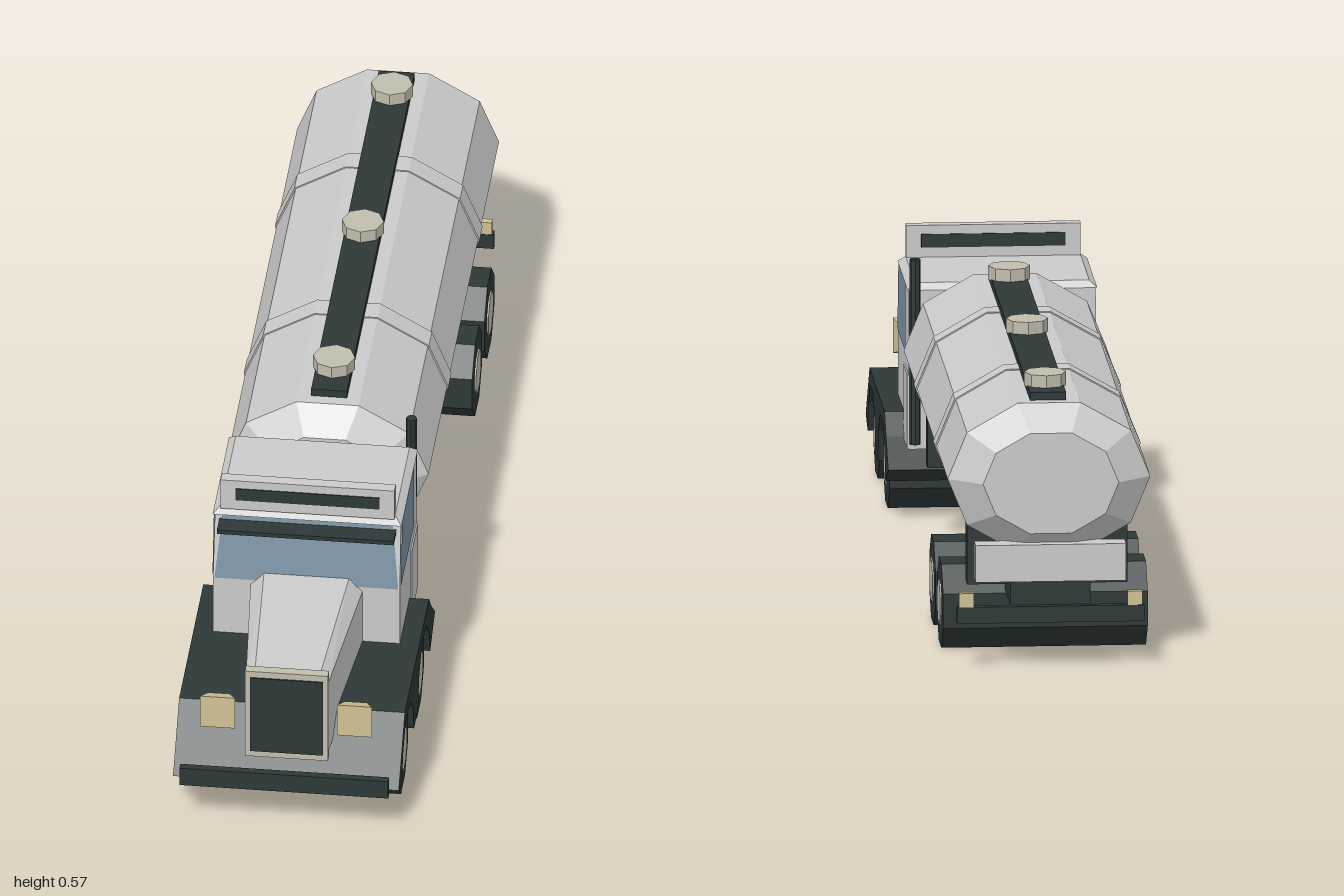
import * as THREE from 'three';
import { ConvexGeometry } from 'three/addons/geometries/ConvexGeometry.js';

const mat = (name, color) => {
  const m = new THREE.MeshStandardMaterial({ color, flatShading: true });
  m.name = name;
  return m;
};

export function createModel() {
  const body = mat('light grey body', 0xcbcbcb);
  const dark = mat('dark trim', 0x2c3837);
  const glass = mat('window glass', 0x7d93a4);
  const lamp = mat('lamp', 0xcfc294);
  const metal = mat('warm metal', 0xc2beae);
  glass.side = THREE.DoubleSide;

  const truck = new THREE.Group();
  truck.name = 'tankerTruck';
  const add = (name, geo, material, x = 0, y = 0, z = 0) => {
    const m = new THREE.Mesh(geo, material);
    m.name = name;
    m.position.set(x, y, z);
    truck.add(m);
    return m;
  };
  // box given by its ranges
  const box = (name, material, x0, x1, y0, y1, z0, z1) =>
    add(name, new THREE.BoxGeometry(x1 - x0, y1 - y0, z1 - z0), material,
      (x0 + x1) / 2, (y0 + y1) / 2, (z0 + z1) / 2);
  // convex solid from [halfWidth, y, z] points mirrored across x
  const hull = (name, material, pts) => add(name, new ConvexGeometry(
    pts.flatMap(([x, y, z]) => [new THREE.Vector3(x, y, z), new THREE.Vector3(-x, y, z)])), material);
  // flat four-cornered pane
  const pane = (name, c) => {
    const g = new THREE.BufferGeometry();
    g.setAttribute('position', new THREE.Float32BufferAttribute(
      [c[0], c[1], c[2], c[0], c[2], c[3]].flat(), 3));
    g.computeVertexNormals();
    add(name, g, glass);
  };
  // ten-sided oval lathe along z, profile in [scale, z]
  const oval = (name, profile) => {
    const g = new THREE.LatheGeometry(
      profile.map(([r, z]) => new THREE.Vector2(r, z)), 10, Math.PI / 2);
    g.rotateX(Math.PI / 2);
    g.scale(0.202, 0.16, 1);
    add(name, g, body, 0, 0.375, 0);
  };

  // tank with tapered ends and two bands
  oval('tank', [[0, -1], [0.67, -1], [1, -0.945], [1, 0.255], [0.67, 0.306], [0, 0.306]]);
  for (const z of [-0.085, -0.615])
    oval('tankBand', [[0.98, z - 0.025], [1.015, z - 0.025], [1.015, z + 0.025], [0.98, z + 0.025]]);

  // walkway and hatches
  box('walkway', dark, -0.036, 0.036, 0.52, 0.543, -0.92, 0.23);
  for (const z of [0.145, -0.345, -0.84])
    add('hatch', new THREE.CylinderGeometry(0.042, 0.042, 0.028, 8), metal, 0, 0.554, z);

  // chassis, saddles and rear end
  box('chassis', dark, -0.08, 0.08, 0.125, 0.175, -0.985, 0.9);
  for (const z of [0.2, -0.88])
    box('tankSaddle', dark, -0.16, 0.16, 0.15, 0.285, z - 0.02, z + 0.02);
  box('rearCabinet', body, -0.15, 0.15, 0.175, 0.25, -0.998, -0.955);
  box('rearBumper', dark, -0.187, 0.187, 0.092, 0.125, -1, -0.984);
  for (const s of [-1, 1])
    add('tailLamp', new THREE.BoxGeometry(0.03, 0.03, 0.014), lamp, s * 0.168, 0.138, -0.992);

  // wheels as full-width octagonal rollers with hubs
  const wheel = (z, half) => {
    const roller = (r, w) =>
      new THREE.CylinderGeometry(r, r, w, 8, 1, false, Math.PI / 8).rotateZ(Math.PI / 2);
    add('wheelPair', roller(0.092, half * 2), dark, 0, 0.085, z);
    add('wheelHubs', roller(0.046, half * 2 + 0.006), metal, 0, 0.085, z);
  };
  wheel(0.807, 0.216);
  wheel(0.535, 0.216);
  wheel(-0.556, 0.204);
  wheel(-0.765, 0.204);

  // front fender arching over both axles, outline in [z, y]
  const outline = [[0.965, 0.09], [0.885, 0.18], [0.86, 0.207], [0.45, 0.207], [0.41, 0.165],
    [0.348, 0.11], [0.43, 0.07], [0.45, 0.13], [0.495, 0.175], [0.575, 0.175], [0.62, 0.13],
    [0.635, 0.067], [0.705, 0.067], [0.722, 0.13], [0.768, 0.175], [0.847, 0.175],
    [0.89, 0.13], [0.91, 0.068]];
  const shape = new THREE.Shape(outline.map(([z, y]) => new THREE.Vector2(-z, y)));
  const fender = new THREE.ExtrudeGeometry(shape, { depth: 0.452, bevelEnabled: false });
  fender.rotateY(Math.PI / 2);
  add('frontFender', fender, dark, -0.226, 0, 0);
  box('frontBumper', dark, -0.209, 0.209, 0.093, 0.133, 0.984, 1);

  // cab
  box('cabLower', body, -0.187, 0.187, 0.157, 0.337, 0.325, 0.615);
  hull('cabUpper', body, [[0.187, 0.335, 0.325], [0.187, 0.335, 0.615],
    [0.186, 0.48, 0.328], [0.186, 0.48, 0.588]]);
  hull('roof', body, [[0.189, 0.48, 0.327], [0.189, 0.48, 0.605],
    [0.174, 0.493, 0.34], [0.174, 0.493, 0.585]]);
  for (const s of [-1, 1])
    add('doorPanel', new THREE.BoxGeometry(0.008, 0.15, 0.105), body, s * 0.186, 0.233, 0.38);

  // windows
  pane('windshield', [[-0.184, 0.337, 0.617], [0.184, 0.337, 0.617],
    [0.17, 0.479, 0.591], [-0.17, 0.479, 0.591]]);
  for (const s of [-1, 1]) {
    const c = [[s * 0.1885, 0.34, 0.612], [s * 0.1885, 0.34, 0.388],
      [s * 0.1885, 0.479, 0.388], [s * 0.1885, 0.479, 0.587]];
    pane('sideWindow', s > 0 ? c : c.reverse());
  }

  // roof board, visor and exhaust
  box('roofBoard', body, -0.174, 0.174, 0.49, 0.558, 0.573, 0.597);
  box('roofBoardStrip', dark, -0.144, 0.144, 0.513, 0.54, 0.571, 0.599);
  box('visor', dark, -0.177, 0.177, 0.454, 0.463, 0.59, 0.635);
  add('exhaustStack', new THREE.CylinderGeometry(0.011, 0.011, 0.377, 8), dark, 0.175, 0.358, 0.315);

  // hood narrowing to the grille
  hull('hood', body, [[0.112, 0.16, 0.615], [0.112, 0.325, 0.615], [0.085, 0.354, 0.615],
    [0.083, 0.16, 0.94], [0.083, 0.322, 0.94], [0.065, 0.337, 0.94]]);
  box('grilleSurround', metal, -0.083, 0.083, 0.143, 0.345, 0.935, 0.955);
  box('grille', dark, -0.073, 0.073, 0.157, 0.331, 0.952, 0.958);

  // headlights, wider at the front
  for (const s of [-1, 1]) {
    const pts = [];
    for (const [z, hx, hy] of [[0.015, 0.035, 0.036], [-0.015, 0.022, 0.026]])
      for (const a of [-1, 1]) for (const b of [-1, 1])
        pts.push(new THREE.Vector3(a * hx, b * hy, z));
    add('headlight', new ConvexGeometry(pts), lamp, s * 0.137, 0.249, 0.95);
  }
  return truck;
}
